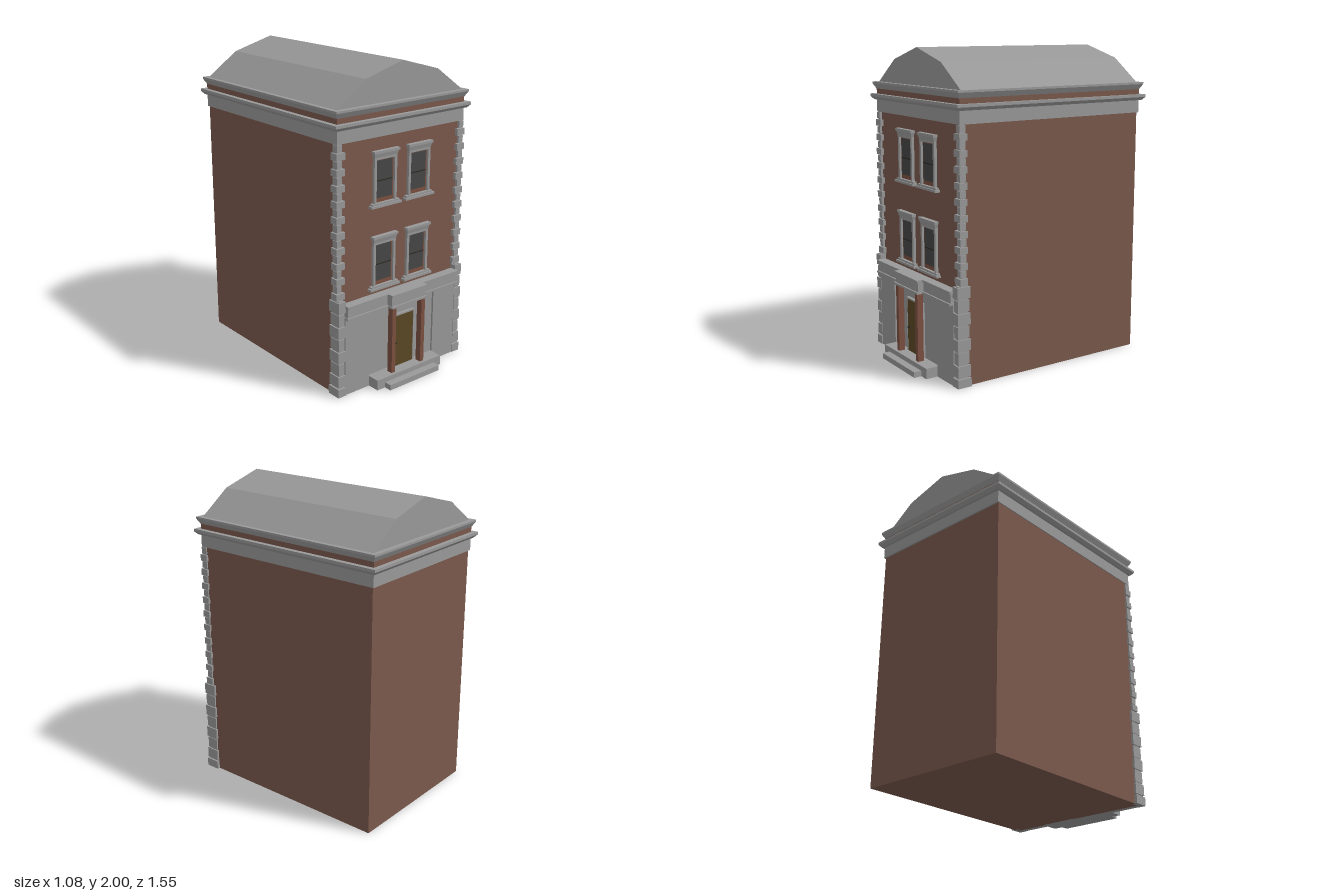
import * as THREE from 'three';

const mat = (name, color) => {
  const m = new THREE.MeshStandardMaterial({ color });
  m.name = name;
  return m;
};

export function createModel() {
  const stone = mat('stone', 0x999999);
  const brick = mat('brick', 0x7a594c);
  const glass = mat('glass', 0x464646);
  const wood = mat('doorWood', 0x5b4825);
  const post = mat('postWood', 0x7c5041);
  const dark = mat('darkMetal', 0x2c2820);

  const model = new THREE.Group();
  model.name = 'townhouse';

  const add = (name, geo, material, parent = model) => {
    const mesh = new THREE.Mesh(geo, material);
    mesh.name = name;
    parent.add(mesh);
    return mesh;
  };
  // Box given by its limits; grow widens the top face on all sides
  const block = (name, material, x0, x1, y0, y1, z0, z1, parent = model, grow = 0) => {
    const geo = new THREE.BoxGeometry(x1 - x0, y1 - y0, z1 - z0);
    if (grow) {
      const p = geo.attributes.position;
      for (let i = 0; i < p.count; i++) {
        if (p.getY(i) > 0) {
          p.setX(i, p.getX(i) + Math.sign(p.getX(i)) * grow);
          p.setZ(i, p.getZ(i) + Math.sign(p.getZ(i)) * grow);
        }
      }
      geo.computeVertexNormals();
    }
    geo.translate((x0 + x1) / 2, (y0 + y1) / 2, (z0 + z1) / 2);
    return add(name, geo, material, parent);
  };
  const group = (name) => {
    const g = new THREE.Group();
    g.name = name;
    model.add(g);
    return g;
  };

  // Brick body
  block('brickBody', brick, -0.5, 0.5, 0, 1.6, -0.73, 0.61);

  // Frieze and cornice bands: bottom, top, outward offset, growth at the top
  const cornice = group('cornice');
  const bands = [
    ['frieze', stone, 1.575, 1.655, 0.005, 0],
    ['lowerMoulding', stone, 1.655, 1.675, 0.018, 0.018],
    ['lowerLedge', stone, 1.675, 1.692, 0.036, 0],
    ['brickBand', brick, 1.692, 1.725, 0.005, 0],
    ['upperMoulding', stone, 1.725, 1.757, 0.006, 0.018],
    ['upperLedge', stone, 1.757, 1.77, 0.024, 0],
  ];
  for (const [name, m, y0, y1, o, grow] of bands) {
    block(name, m, -0.502 - o, 0.502 + o, y0, y1, -0.735 - o, 0.62 + o, cornice, grow);
  }

  // Faceted roof with a framed front gable
  const outline = [[-0.505, 1.765], [-0.285, 1.92], [0, 2], [0.285, 1.92], [0.505, 1.765]];
  const inner = [[-0.376, 1.8], [-0.27, 1.89], [0, 1.97], [0.27, 1.89], [0.376, 1.8]];
  const points = (list) => list.map(([x, y]) => new THREE.Vector2(x, y));
  const extrude = (shape, depth, z) =>
    new THREE.ExtrudeGeometry(shape, { depth, bevelEnabled: false }).translate(0, 0, z);
  add('roof', extrude(new THREE.Shape(points(outline)), 1.31, -0.725), stone);
  const gable = new THREE.Shape(points(outline));
  gable.holes.push(new THREE.Path(points(inner)));
  add('gableFrame', extrude(gable, 0.025, 0.585), stone);

  // Corner stones on both front corners
  for (const s of [-1, 1]) {
    const quoins = group(s > 0 ? 'leftQuoins' : 'rightQuoins');
    const stoneAt = (name, xIn, xOut, y0, y1, z0, z1) =>
      block(name, stone, Math.min(s * xIn, s * xOut), Math.max(s * xIn, s * xOut), y0, y1, z0, z1, quoins);

    const n = 20, h = 0.95 / n;
    stoneAt('upperQuoinCore', 0.475, 0.504, 0.62, 1.58, 0.588, 0.619);
    for (let i = 0; i < n; i++) {
      const y = 0.625 + i * h;
      const long = i % 2 === 0;
      stoneAt('upperQuoin', long ? 0.452 : 0.472, long ? 0.515 : 0.508, y + 0.003, y + h - 0.003,
        long ? 0.578 : 0.585, long ? 0.632 : 0.626);
    }
    stoneAt('lowerQuoinCore', 0.47, 0.506, 0, 0.625, 0.575, 0.642);
    const rows = 7, hb = 0.565 / rows;
    for (let i = 0; i < rows; i++) {
      const y = 0.06 + i * hb;
      const long = i % 2 === 0;
      stoneAt('lowerQuoin', long ? 0.46 : 0.467, long ? 0.515 : 0.51, y + 0.005, y + hb - 0.005,
        long ? 0.562 : 0.568, long ? 0.652 : 0.648);
    }
    stoneAt('quoinFoot', 0.458, 0.519, 0, 0.055, 0.56, 0.655);
  }

  // Stone ground floor front with side panels
  const ground = group('groundFloor');
  block('centreWall', stone, -0.47, 0.47, 0, 0.59, 0.6, 0.637, ground);
  for (const s of [-1, 1]) {
    block('sidePanel', stone, s * 0.365 - 0.095, s * 0.365 + 0.095, 0, 0.51, 0.63, 0.65, ground);
  }

  // Entablature, stepping forward over the door
  for (const [half, z] of [[0.463, 0.677], [0.147, 0.717]]) {
    block('entablatureBase', stone, -half, half, 0.503, 0.516, 0.62, z, ground);
    block('entablature', stone, -half + 0.005, half - 0.005, 0.516, 0.577, 0.62, z - 0.01, ground);
    block('entablatureCap', stone, -half, half, 0.577, 0.592, 0.62, z, ground);
  }

  // Steps, posts and door
  block('upperStep', stone, -0.27, 0.27, 0, 0.066, 0.6, 0.73, ground);
  block('lowerStep', stone, -0.208, 0.208, 0, 0.035, 0.7, 0.78, ground);
  const entrance = group('entrance');
  for (const s of [-1, 1]) {
    block('post', post, s * 0.122 - 0.015, s * 0.122 + 0.015, 0.066, 0.503, 0.67, 0.71, entrance);
    block('doorJamb', stone, s * 0.094 - 0.005, s * 0.094 + 0.005, 0.066, 0.42, 0.63, 0.658, entrance);
  }
  block('doorLintel', stone, -0.099, 0.099, 0.412, 0.422, 0.63, 0.658, entrance);
  block('door', wood, -0.089, 0.089, 0.066, 0.412, 0.63, 0.655, entrance);
  block('doorHandle', dark, -0.085, -0.05, 0.222, 0.229, 0.65, 0.662, entrance);

  // Windows: two floors, two on each
  for (const base of [0.62, 1.147]) {
    for (const s of [-1, 1]) {
      const w = group('window');
      w.position.set(s * 0.137, base, 0.61);
      block('sill', stone, -0.119, 0.119, 0, 0.014, -0.01, 0.032, w);
      block('sillMoulding', stone, -0.108, 0.108, 0.014, 0.026, -0.01, 0.024, w);
      for (const t of [-1, 1]) {
        block('sideFrame', stone, t * 0.08 - 0.009, t * 0.08 + 0.009, 0.026, 0.3, -0.01, 0.018, w);
      }
      block('topFrame', stone, -0.089, 0.089, 0.29, 0.305, -0.01, 0.018, w);
      block('hood', stone, -0.089, 0.089, 0.305, 0.33, -0.01, 0.02, w, 0.006);
      block('hoodCap', stone, -0.1, 0.1, 0.33, 0.345, -0.01, 0.03, w);
      block('sash', post, -0.071, 0.071, 0.026, 0.29, -0.01, 0.004, w);
      block('lowerPane', glass, -0.061, 0.061, 0.053, 0.157, 0, 0.007, w);
      block('upperPane', glass, -0.061, 0.061, 0.163, 0.283, 0, 0.007, w);
      block('middleRail', dark, -0.061, 0.061, 0.157, 0.163, 0, 0.009, w);
    }
  }
  return model;
}
